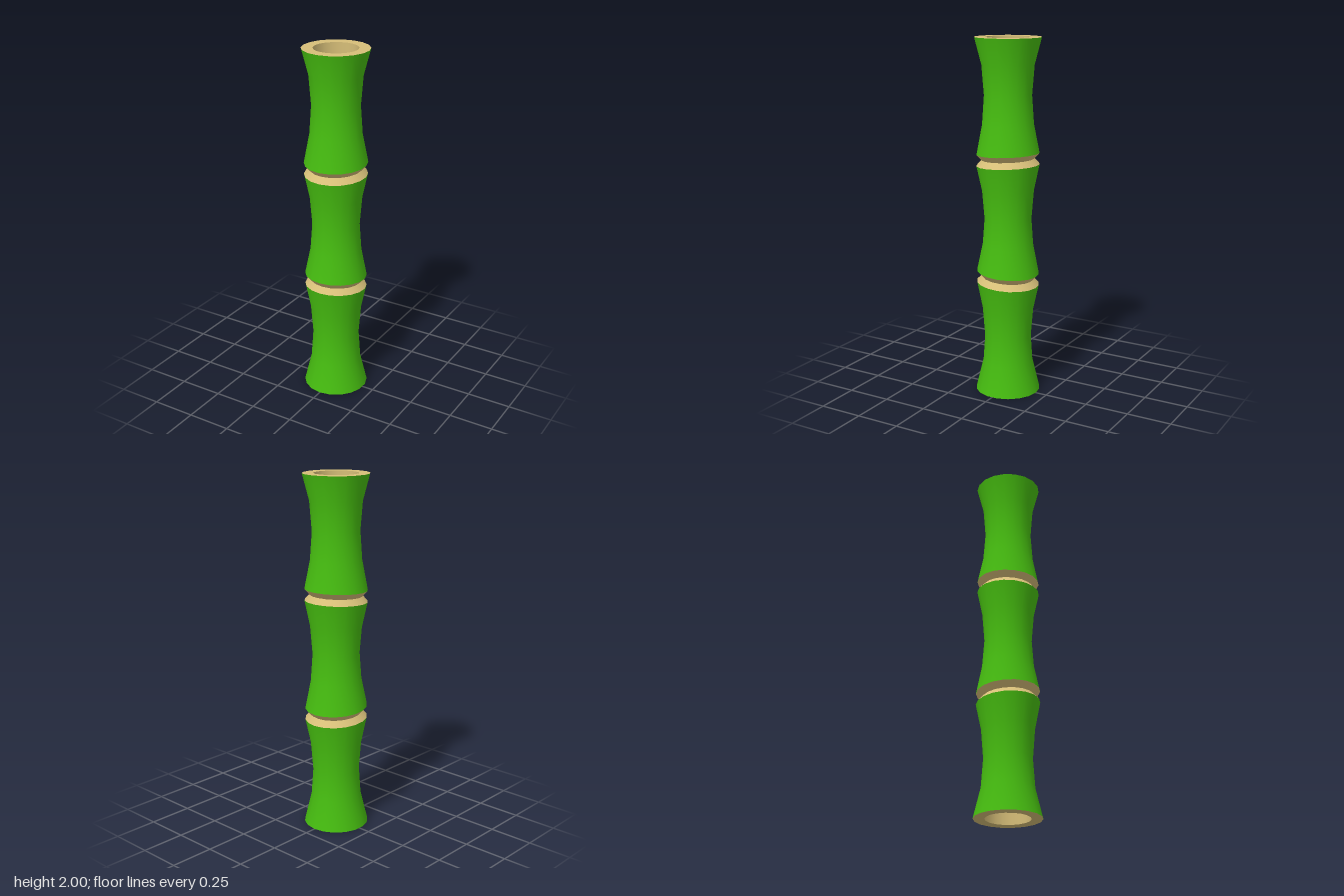
import * as THREE from 'three';

const SIDES = 18;
const green = new THREE.MeshStandardMaterial({ color: 0x46bd10 });
const tan = new THREE.MeshStandardMaterial({ color: 0xd6be78 });

// Lathe from rings [radius, y, tilt]; tilt slopes the ring along z.
function turned(name, rings, material) {
  const geometry = new THREE.LatheGeometry(rings.map(([r, y]) => new THREE.Vector2(r, y)), SIDES);
  const pos = geometry.attributes.position;
  for (let i = 0; i < pos.count; i++) {
    const tilt = rings[i % rings.length][2] || 0;
    pos.setY(i, pos.getY(i) + tilt * pos.getZ(i));
  }
  const mesh = new THREE.Mesh(geometry, material);
  mesh.name = name;
  return mesh;
}

export function createModel() {
  const group = new THREE.Group();
  group.name = 'bambooStalk';

  const END = 0.183, LIP = 0.175, NOTCH = 0.146, BORE = 0.122;
  const joints = [
    { y: 0.667, tilt: 0.065 },
    { y: 1.34, tilt: -0.042 },
  ];
  const half = 0.032;

  // Flared stalk sections, narrow at the waist
  const ends = [
    { y: 0, tilt: 0, r: END },
    ...joints.flatMap(({ y, tilt }) => [
      { y: y - half, tilt, r: LIP },
      { y: y + half, tilt, r: LIP },
    ]),
    { y: 2, tilt: 0, r: END },
  ];
  for (let i = 0; i < ends.length; i += 2) {
    const a = ends[i], b = ends[i + 1];
    const at = (t) => a.y + (b.y - a.y) * t;
    group.add(turned('stalkSection' + (i / 2 + 1), [
      [a.r, a.y, a.tilt],
      [0.143, at(0.26), a.tilt * 0.4],
      [0.132, at(0.51)],
      [0.145, at(0.77), b.tilt * 0.4],
      [b.r, b.y, b.tilt],
    ], green));
  }

  // V-shaped grooves between the sections
  joints.forEach(({ y, tilt }, i) => {
    const n = i + 1;
    group.add(turned('jointLower' + n, [[LIP, y - half, tilt], [NOTCH, y, tilt]], tan));
    group.add(turned('jointUpper' + n, [[NOTCH, y, tilt], [LIP, y + half, tilt]], tan));
  });

  // Cut ends and the hollow bore
  group.add(turned('bottomRim', [[BORE, 0], [END, 0]], tan));
  group.add(turned('topRim', [[END, 2], [BORE, 2]], tan));
  group.add(turned('bore', [[BORE, 2], [BORE, 0]], tan));

  return group;
}
